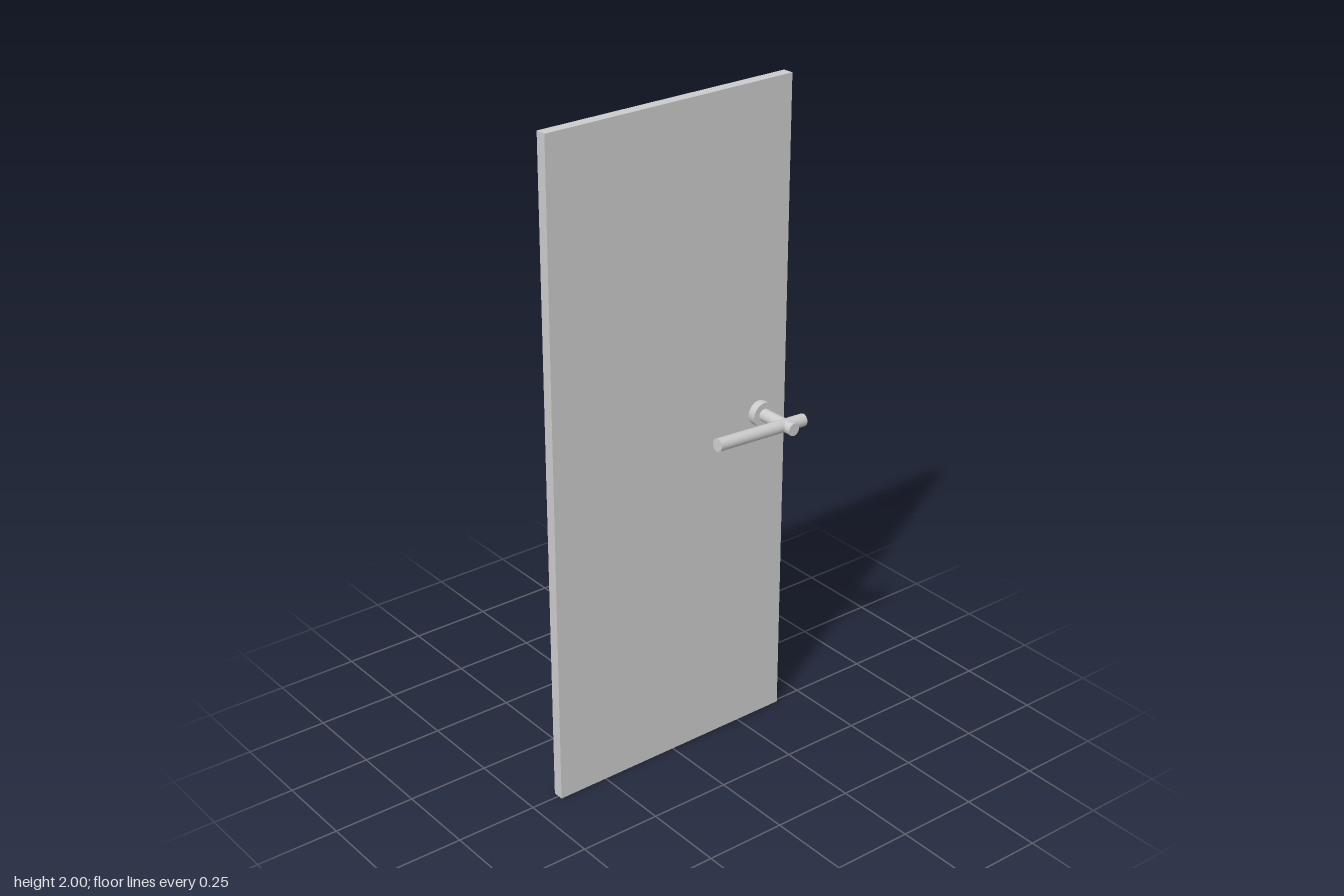
import * as THREE from 'three';

const material = new THREE.MeshStandardMaterial({ color: 0xcccccc });

function addMesh(parent, name, geometry) {
  const mesh = new THREE.Mesh(geometry, material);
  mesh.name = name;
  parent.add(mesh);
  return mesh;
}

// Capped round bar lying along the x axis
function barX(radius, length) {
  return new THREE.CylinderGeometry(radius, radius, length, 32).rotateZ(Math.PI / 2);
}

export function createModel() {
  const model = new THREE.Group();
  model.name = 'door';

  // Door leaf, turned very slightly about the vertical
  const leaf = addMesh(model, 'doorLeaf', new THREE.BoxGeometry(0.033, 2, 0.82));
  leaf.position.set(-0.005, 1, 0);
  leaf.rotation.y = 0.008;

  // Round plate showing on both faces of the leaf
  const rosette = addMesh(model, 'rosette', barX(0.0375, 0.071));
  rosette.position.set(-0.002, 1.017, -0.313);
  rosette.rotation.y = 0.008;

  // Handle set: one spindle through the leaf and a lever on each side
  const handle = new THREE.Group();
  handle.name = 'handleSet';
  handle.position.set(-0.003, 1.017, -0.313);
  handle.rotation.y = 0.025;
  model.add(handle);

  const spindle = addMesh(handle, 'spindle', barX(0.019, 0.32));
  spindle.position.x = 0.002;

  for (const [name, side] of [['leftLever', 1], ['rightLever', -1]]) {
    const lever = addMesh(handle, name,
      new THREE.CylinderGeometry(0.019, 0.019, 0.321, 32).rotateX(Math.PI / 2).translate(0, 0, 0.091));
    lever.position.x = side * 0.125 - 0.002;
    lever.rotation.x = -0.065; // free end tips up
  }
  return model;
}
